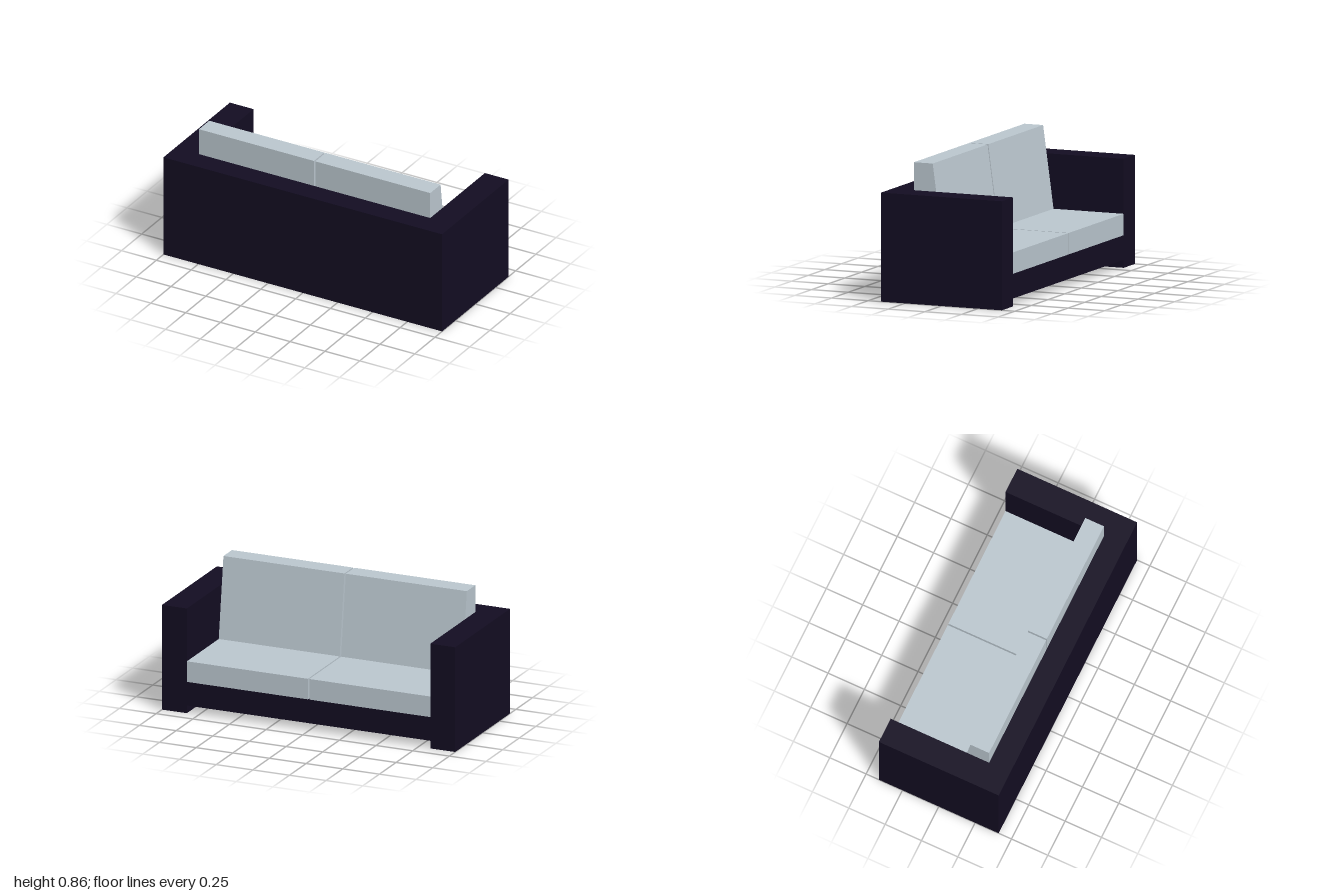
import * as THREE from 'three';

const WIDTH = 2, DEPTH = 0.824, HEIGHT = 0.686;
const ARM = 0.17;           // arm thickness
const BACK_Z = 0.265;       // inner face of the back panel
const FRONT_Z = -DEPTH / 2; // the seat opens towards -z
const SEAT_BOTTOM = 0.205, SEAT_TOP = 0.34, BACKREST_TOP = 0.862;
const GAP = 0.01;           // slit between the two cushions

export function createModel() {
  const sofa = new THREE.Group();
  sofa.name = 'sofa';
  const frameMaterial = new THREE.MeshStandardMaterial({ color: 0x130d22, flatShading: true });
  const cushionMaterial = new THREE.MeshStandardMaterial({ color: 0xbcc8d0, flatShading: true });

  function add(name, geometry, material) {
    const mesh = new THREE.Mesh(geometry, material);
    mesh.name = name;
    sofa.add(mesh);
    return mesh;
  }

  // Box given by its lower and upper limits on each axis
  function block(name, [x0, x1], [y0, y1], [z0, z1], material) {
    add(name, new THREE.BoxGeometry(x1 - x0, y1 - y0, z1 - z0), material)
      .position.set((x0 + x1) / 2, (y0 + y1) / 2, (z0 + z1) / 2);
  }

  const inner = WIDTH / 2 - ARM;

  // U-shaped frame around a base raised slightly off the floor
  block('backPanel', [-WIDTH / 2, WIDTH / 2], [0, HEIGHT], [BACK_Z, DEPTH / 2], frameMaterial);
  block('base', [-inner, inner], [0.05, SEAT_BOTTOM], [FRONT_Z, BACK_Z], frameMaterial);

  // Backrest cushion profile: upright rear, sloping front (shape x = -z)
  const profile = new THREE.Shape([
    new THREE.Vector2(-BACK_Z, SEAT_TOP),
    new THREE.Vector2(-0.066, SEAT_TOP),
    new THREE.Vector2(-0.137, BACKREST_TOP),
    new THREE.Vector2(-BACK_Z, BACKREST_TOP),
  ]);
  const cushionWidth = inner - GAP / 2;

  for (const [side, s] of [['left', 1], ['right', -1]]) {
    const span = (a, b) => (s > 0 ? [a, b] : [-b, -a]);
    block(side + 'Arm', span(inner, WIDTH / 2), [0, HEIGHT], [FRONT_Z, BACK_Z], frameMaterial);
    block(side + 'SeatCushion', span(GAP / 2, inner), [SEAT_BOTTOM, SEAT_TOP], [FRONT_Z, BACK_Z], cushionMaterial);

    const backrest = new THREE.ExtrudeGeometry(profile, { depth: cushionWidth, bevelEnabled: false });
    backrest.rotateY(Math.PI / 2);
    add(side + 'BackCushion', backrest, cushionMaterial).position.x = s > 0 ? GAP / 2 : -inner;
  }

  return sofa;
}
